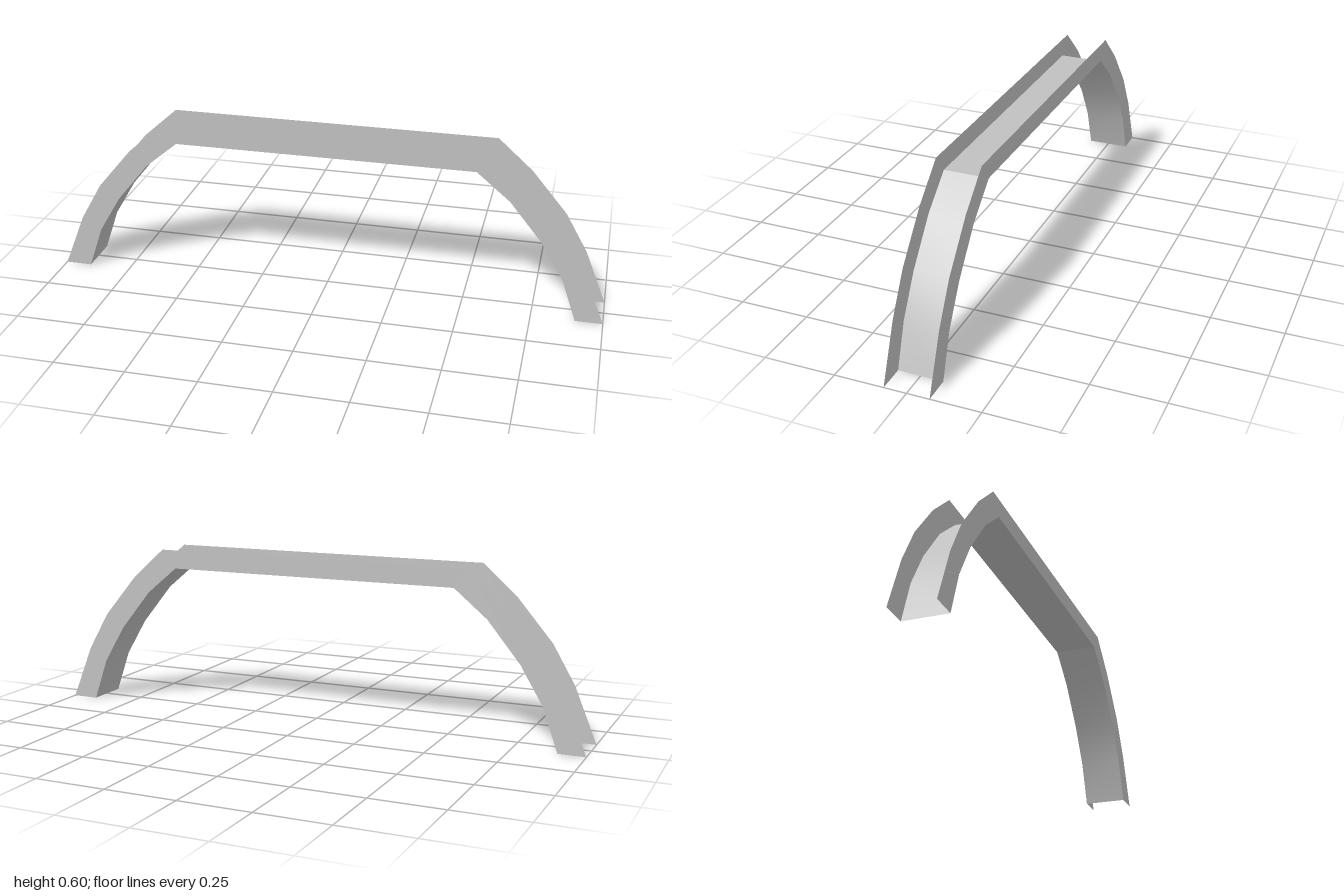
import * as THREE from 'three';

const HALF = 0.078; // half the channel width
// right half of the arch, from foot to corner
const OUTER = [[1, 0], [0.92, 0.196], [0.84, 0.334], [0.713, 0.484], [0.588, 0.595]];
const INNER = [[0.904, 0], [0.85, 0.153], [0.77, 0.287], [0.653, 0.43], [0.535, 0.528]];

// mirror a half profile into a full arch running from +x to -x
const arch = (half) => [...half, ...half.map(([x, y]) => [-x, y]).reverse()];

// smooth strip across the channel width, swept along a profile
function strip(points) {
  const pos = [], index = [];
  points.forEach(([x, y], i) => {
    pos.push(x, y, HALF, x, y, -HALF);
    if (i) {
      const a = 2 * i - 2;
      index.push(a, a + 1, a + 2, a + 1, a + 3, a + 2);
    }
  });
  const g = new THREE.BufferGeometry();
  g.setAttribute('position', new THREE.Float32BufferAttribute(pos, 3));
  g.setIndex(index);
  g.computeVertexNormals();
  return g;
}

export function createModel() {
  const group = new THREE.Group();
  const grey = new THREE.MeshStandardMaterial({ color: 0xc0c0c0, side: THREE.DoubleSide });
  grey.name = 'grey';
  const add = (name, geometry, z = 0) => {
    const mesh = new THREE.Mesh(geometry, grey);
    mesh.name = name;
    mesh.position.z = z;
    group.add(mesh);
    return mesh;
  };

  // inner web: two curved legs and a flat bridge, with hard corners between
  const inner = arch(INNER);
  add('leftLegWeb', strip(inner.slice(0, 5)));
  add('bridgeWeb', strip(inner.slice(4, 6)));
  add('rightLegWeb', strip(inner.slice(5)));

  // thin side flanges, open along the outer edge
  const outline = [...arch(OUTER), ...inner.slice().reverse()];
  const flange = new THREE.ShapeGeometry(new THREE.Shape(outline.map(([x, y]) => new THREE.Vector2(x, y))));
  add('frontFlange', flange, HALF);
  add('backFlange', flange, -HALF).rotation.y = Math.PI;

  return group;
}
